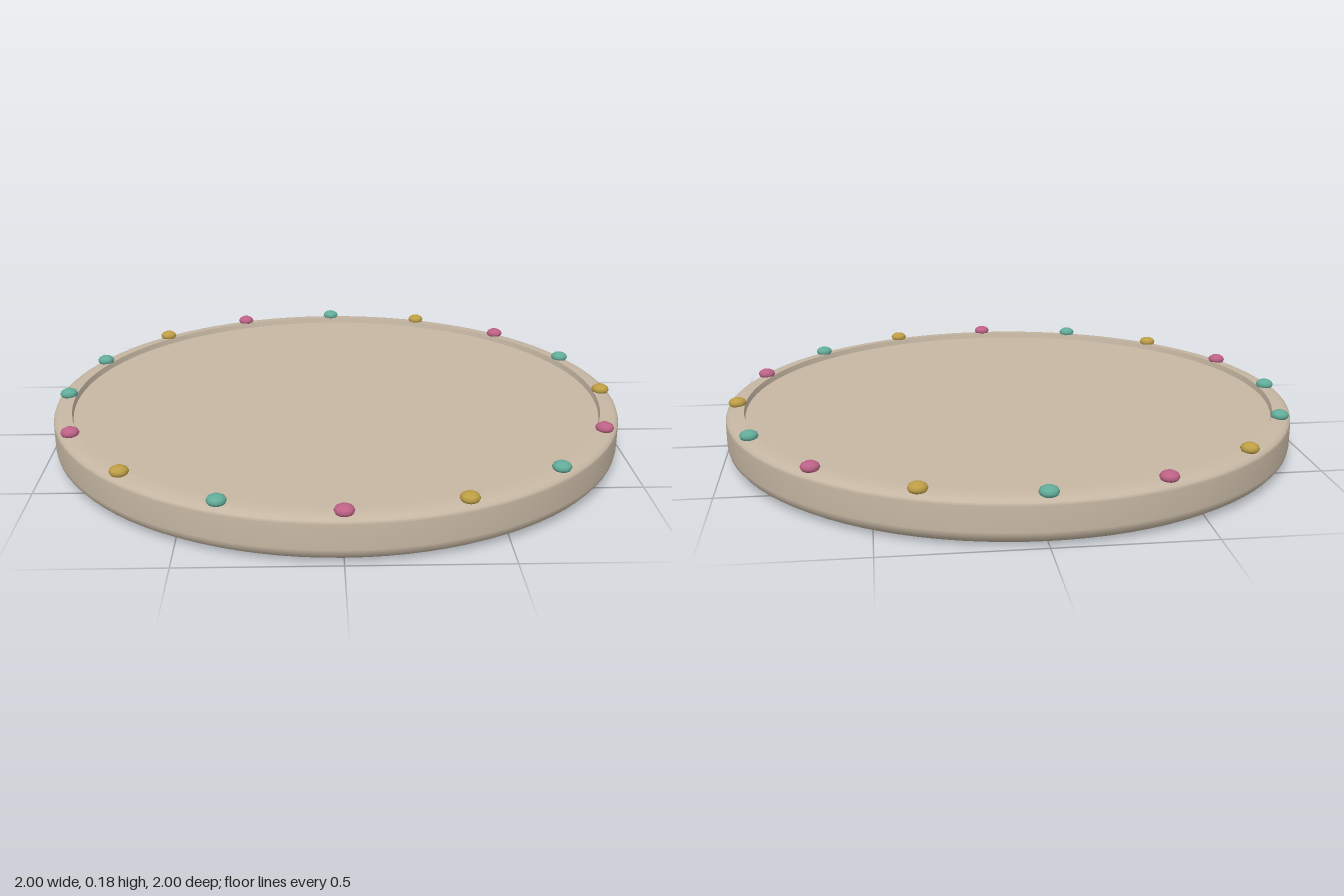
import * as THREE from 'three';
import { toCreasedNormals } from 'three/addons/utils/BufferGeometryUtils.js';

const mat = (name, color) => new THREE.MeshStandardMaterial({ name, color });

export function createModel() {
  const group = new THREE.Group();
  group.name = 'studdedTray';
  const clay = mat('warm beige', 0xc6b7a3);
  const teal = mat('teal', 0x62ac9a);
  const gold = mat('gold', 0xbd9e45);
  const pink = mat('pink', 0xbd6286);

  const lathe = (name, pts, crease) => {
    const geo = new THREE.LatheGeometry(pts.map(([r, y]) => new THREE.Vector2(r, y)), 96);
    const mesh = new THREE.Mesh(crease ? toCreasedNormals(geo, crease) : geo, clay);
    mesh.name = name;
    group.add(mesh);
  };

  // Underside, rounded lower edge, outer wall and softly sloped rim
  lathe('trayBody', [
    [0, 0], [0.94, 0], [0.963, 0.006], [0.985, 0.02], [0.997, 0.035], [1, 0.05],
    [1, 0.13], [0.997, 0.14], [0.985, 0.147], [0.965, 0.151], [0.937, 0.153],
  ]);

  // Short inner wall and recessed floor
  lathe('innerWallAndFloor', [[0.937, 0.153], [0.933, 0.133], [0, 0.133]], 0.6);

  // Flattened studs around the rim, cycling through three colours
  const studGeo = new THREE.SphereGeometry(0.031, 16, 6);
  studGeo.scale(1, 0.6, 1);
  const colours = [teal, gold, pink];
  const count = 16;
  for (let k = 0; k < count; k++) {
    const a = ((k + 9) / count) * Math.PI * 2;
    const stud = new THREE.Mesh(studGeo, colours[k % 3]);
    stud.name = 'rimStud' + (k + 1);
    stud.position.set(Math.cos(a) * 0.963, 0.16, Math.sin(a) * 0.963);
    group.add(stud);
  }
  return group;
}
